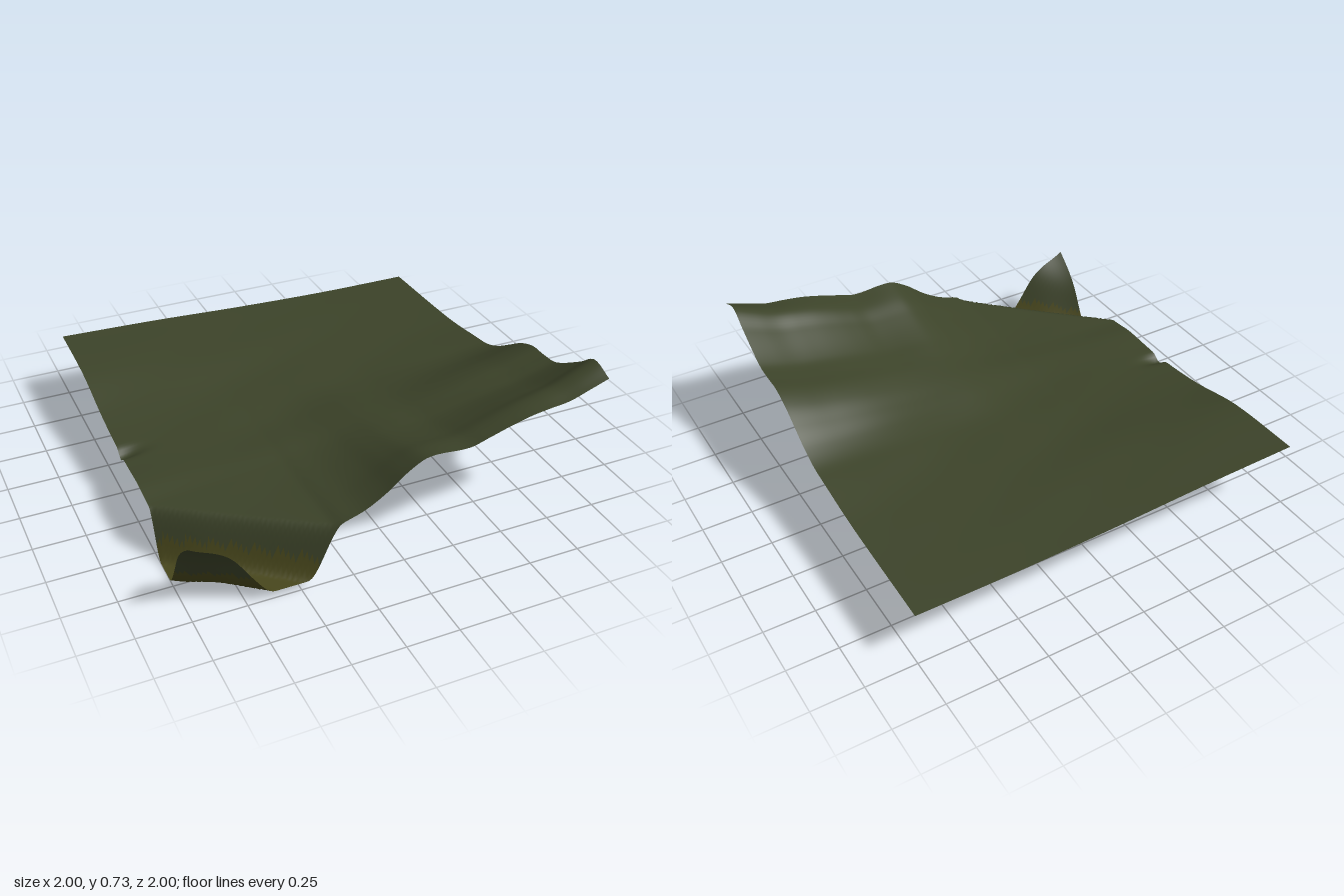
import * as THREE from 'three';

const N = 120; // grid cells per side
const PLAIN = .282; // height of the flat middle

// Edge profiles of the hillside as [position, height], with the gully left out
const frontEdge = [[-1, .25], [-.6, .265], [-.35, .285], [-.3, .305], [-.2, .34], [-.1, .4], [0, .48], [.1, .53], [.3, .523], [.4, .55], [.5, .58], [.6, .605], [.7, .62], [.8, .632], [.9, .665], [1, .7]];
const backEdge = [[-1, .35], [-.5, .335], [0, .312], [.5, .297], [1, .295]];
const leftEdge = [[-1, .35], [-.6, .335], [-.3, .275], [-.1, .25], [.1, .24], [.3, .245], [.45, .23], [1, .25]];
const rightEdge = [[-1, .295], [-.4, .312], [-.1, .345], [0, .36], [.1, .4], [.2, .46], [.3, .52], [.4, .555], [.5, .557], [.6, .57], [.78, .67], [.88, .735], [1, .7]];
// Height across the gully, from its floor up the outer bank
const bank = [[-1, 0], [.035, 0], [.06, .015], [.1, .1], [.15, .22], [.2, .3], [.28, .39]];

const { smoothstep, lerp } = THREE.MathUtils;

// Smooth curve through profile points
function sample(points, t) {
  const last = points.length - 1;
  let i = 0;
  while (i < last - 1 && t > points[i + 1][0]) i++;
  const slope = k => {
    const a = points[Math.max(k - 1, 0)], b = points[Math.min(k + 1, last)];
    return (b[1] - a[1]) / (b[0] - a[0]);
  };
  const [x0, y0] = points[i], [x1, y1] = points[i + 1];
  const w = x1 - x0, s = (t - x0) / w, s2 = s * s, s3 = s2 * s;
  return (2 * s3 - 3 * s2 + 1) * y0 + (s3 - 2 * s2 + s) * w * slope(i)
    + (3 * s2 - 2 * s3) * y1 + (s3 - s2) * w * slope(i + 1);
}

// Rise of an edge profile over the plain
const rise = (edge, t) => sample(edge, t) - PLAIN;

// Signed distance across the diagonal gully, positive towards the outer corner
const across = (x, z) => -.622 * (x + 1) + .783 * (z - .65);

// Flat plain curving up to meet each of the four edges
function hill(x, z) {
  const u = (x + 1) / 2, v = (z + 1) / 2;
  const left = (1 - u) ** 2, right = u ** 3.3;
  const back = (1 - v) ** 2, front = v ** 3.3;
  const edges = left * rise(leftEdge, z) + right * rise(rightEdge, z)
    + back * rise(backEdge, x) + front * rise(frontEdge, x);
  const corners = back * (left * rise(backEdge, -1) + right * rise(backEdge, 1))
    + front * (left * rise(frontEdge, -1) + right * rise(frontEdge, 1));
  const ripple = .004 * Math.sin(9 * x + 4 * z) * Math.sin(11 * z - 3 * x) * (1 - x * x) * (1 - z * z);
  // small notch in the left-hand edge
  const notch = .035 * Math.exp(-(((x + 1) / .1) ** 2) - ((z - .02) / .035) ** 2);
  return PLAIN + edges - corners + ripple - notch;
}

function height(x, z) {
  const d = across(x, z);
  const floor = .002 + .036 * smoothstep(x, -1, -.8);
  const bed = floor + (d > .035 ? sample(bank, d) : 0);
  return Math.max(0, lerp(hill(x, z), bed, smoothstep(d, -.155, -.055)));
}

export function createModel() {
  const group = new THREE.Group();
  group.name = 'terrain';

  // Whole surface, so that normals run smoothly across both parts
  const surface = new THREE.PlaneGeometry(2, 2, N, N).rotateX(-Math.PI / 2);
  const pos = surface.attributes.position;
  for (let i = 0; i < pos.count; i++) pos.setY(i, height(pos.getX(i), pos.getZ(i)));
  surface.computeVertexNormals();

  // Sort the triangles into grassy hillside and gully bed
  const grass = [], gully = [], index = surface.index.array;
  for (let i = 0; i < index.length; i += 3) {
    const tri = [index[i], index[i + 1], index[i + 2]];
    const d = tri.reduce((sum, k) => sum + across(pos.getX(k), pos.getZ(k)), 0) / 3;
    (Math.abs(d) < .1 ? gully : grass).push(...tri);
  }

  const addPart = (name, indices, color) => {
    const geometry = surface.clone().setIndex(indices);
    const material = new THREE.MeshStandardMaterial({ color, side: THREE.DoubleSide });
    const mesh = new THREE.Mesh(geometry, material);
    mesh.name = name;
    group.add(mesh);
  };
  addPart('hillside', grass, 0x3c4329);
  addPart('gullyBed', gully, 0x48471c);
  return group;
}
